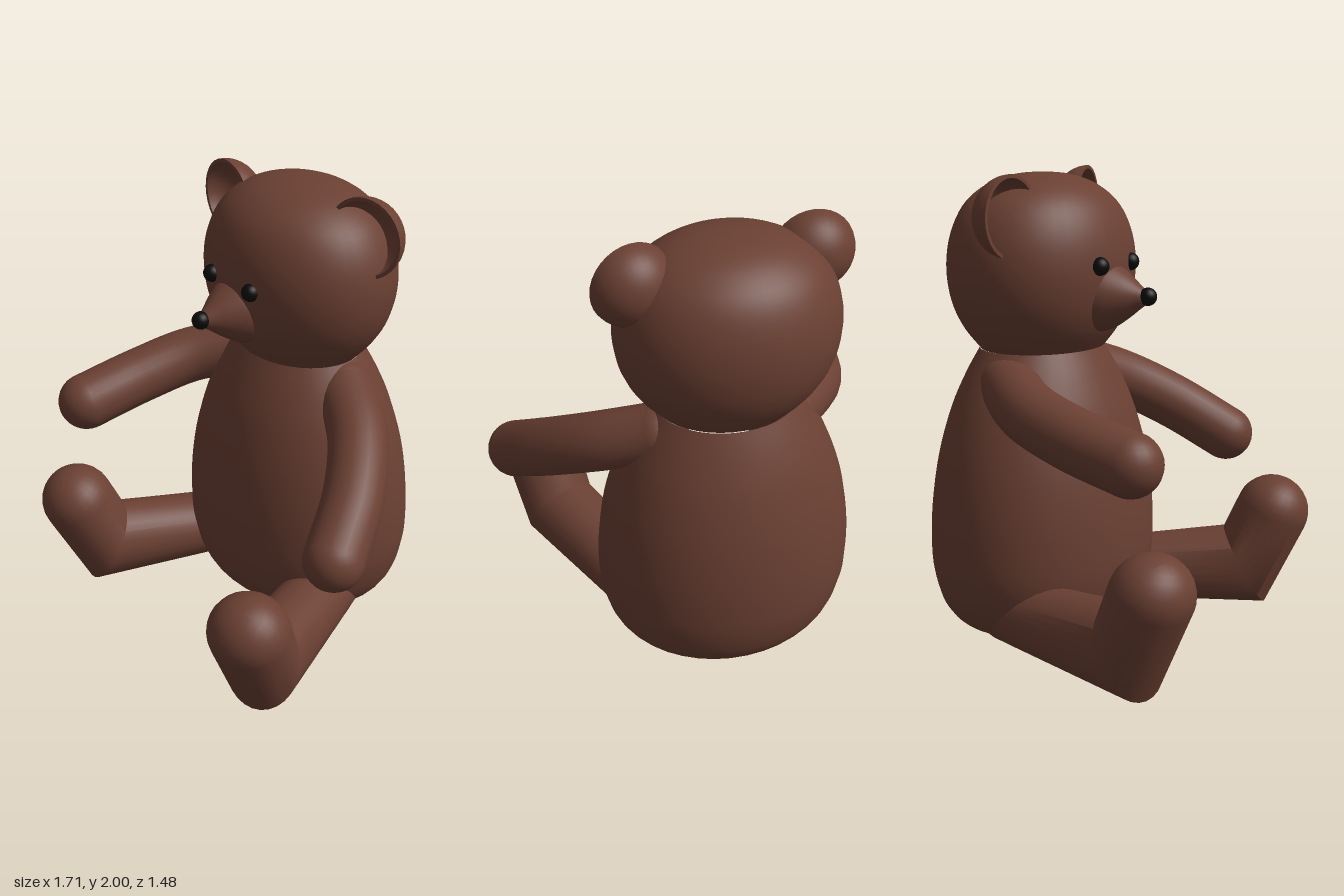
import * as THREE from 'three';
import { toCreasedNormals } from 'three/addons/utils/BufferGeometryUtils.js';

const fur = new THREE.MeshStandardMaterial({ color: 0x6b4033 });
const black = new THREE.MeshStandardMaterial({ color: 0x0a0a0a });
const CX = -0.09, CZ = -0.275; // axis of body and head

const v2 = ([x, y]) => new THREE.Vector2(x, y);
const v3 = (p) => new THREE.Vector3(...p);

function add(parent, name, geometry, position = [0, 0, 0], material = fur) {
  const mesh = new THREE.Mesh(geometry, material);
  mesh.name = name;
  mesh.position.set(...position);
  parent.add(mesh);
  return mesh;
}

// Smooth turned form from a few [radius, height] points
function turned(points, steps = 28) {
  const profile = new THREE.SplineCurve(points.map(v2)).getPoints(steps);
  profile.forEach((p) => { p.x = Math.max(p.x, 0); });
  return new THREE.LatheGeometry(profile, 40);
}

// Curved arm: tube with round ends
function arm(parent, name, points, radius) {
  const group = new THREE.Group();
  group.name = name;
  const curve = new THREE.CatmullRomCurve3(points.map(v3));
  add(group, name + 'Tube', new THREE.TubeGeometry(curve, 24, radius, 24));
  add(group, name + 'Shoulder', new THREE.SphereGeometry(radius, 24, 16), points[0]);
  add(group, name + 'Paw', new THREE.SphereGeometry(radius, 24, 16), points[points.length - 1]);
  parent.add(group);
}

// Leg lofted along +z: thigh, mitred ankle, upturned foot with a domed end.
// Each ring: centre z, centre y, half-height vector (z, y), half width.
function legGeometry() {
  const rings = [
    [-0.15, 0.135, 0, 0, 0],
    [-0.15, 0.135, 0, 0.135, 0.15],
    [0, 0.142, 0, 0.142, 0.155],
    [0.587, 0.175, -0.098, 0.175, 0.17],
  ];
  const domeSteps = 8;
  for (let i = 0; i <= domeSteps; i++) {
    const t = (i / domeSteps) * Math.PI / 2, c = Math.cos(t), s = Math.sin(t) * 0.165;
    rings.push([0.71 + 0.43 * s, 0.435 + 0.9 * s, -0.15 * c, 0.071 * c, 0.175 * c]);
  }
  const n = 28, pos = [], idx = [];
  rings.forEach(([z, y, uz, uy, w], i) => {
    for (let j = 0; j < n; j++) {
      const a = (j / n) * Math.PI * 2;
      pos.push(w * Math.cos(a), y + uy * Math.sin(a), z + uz * Math.sin(a));
      if (i < rings.length - 1) {
        const p = i * n + j, q = i * n + (j + 1) % n;
        idx.push(p, q, q + n, p, q + n, p + n);
      }
    }
  });
  const g = new THREE.BufferGeometry();
  g.setAttribute('position', new THREE.Float32BufferAttribute(pos, 3));
  g.setIndex(idx);
  return toCreasedNormals(g, 0.6);
}

// Hollow half-dome ear opening towards +z
function earGeometry() {
  const pts = [], steps = 12;
  for (let i = 0; i <= steps; i++) {
    const t = (i / steps) * Math.PI / 2;
    pts.push(v2([0.17 * Math.sin(t), -0.155 * Math.cos(t)]));
  }
  for (let i = steps; i >= 0; i--) {
    const t = (i / steps) * Math.PI / 2;
    pts.push(v2([0.155 * Math.sin(t), -0.14 * Math.cos(t)]));
  }
  return toCreasedNormals(new THREE.LatheGeometry(pts, 32).rotateX(Math.PI / 2), 0.7);
}

export function createModel() {
  const model = new THREE.Group();
  model.name = 'teddyBear';

  // Body and head, oval in plan
  const body = add(model, 'body', turned([
    [0, 0], [0.16, 0], [0.3, 0.004], [0.43, 0.05], [0.51, 0.14], [0.55, 0.27], [0.56, 0.4],
    [0.55, 0.58], [0.515, 0.78], [0.45, 0.98], [0.375, 1.13], [0.305, 1.24],
  ], 44), [CX, 0, CZ]);
  const head = add(model, 'head', turned([
    [0.305, 1.24], [0.385, 1.335], [0.44, 1.45], [0.46, 1.59], [0.437, 1.73],
    [0.37, 1.85], [0.26, 1.93], [0.13, 1.97], [0, 1.98],
  ], 36), [CX, 0, CZ + 0.005]);
  body.scale.z = head.scale.z = 0.83;

  // Face
  add(model, 'muzzle', turned([
    [0.175, -0.08], [0.165, -0.01], [0.142, 0.075], [0.1, 0.145], [0.055, 0.205], [0.025, 0.245], [0, 0.255],
  ]).rotateX(Math.PI / 2), [-0.105, 1.475, 0]);
  const bead = new THREE.SphereGeometry(0.038, 20, 14);
  add(model, 'nose', bead, [-0.105, 1.48, 0.25], black);
  add(model, 'rightEye', bead, [-0.228, 1.607, 0.095], black);
  add(model, 'leftEye', bead, [0.028, 1.607, 0.095], black);

  // Ears
  const ear = earGeometry();
  add(model, 'rightEar', ear, [-0.465, 1.808, -0.17]).rotation.y = -0.07;
  add(model, 'leftEar', ear, [0.295, 1.83, -0.27]).rotation.y = 0.24;

  // Arms
  arm(model, 'rightArm', [[-0.36, 1.1, -0.27], [-0.56, 1.05, -0.04], [-0.64, 0.99, 0.2], [-0.68, 0.93, 0.485]], 0.127);
  arm(model, 'leftArm', [[0.2, 1.11, -0.28], [0.42, 1.02, -0.16], [0.6, 0.89, 0.02], [0.728, 0.735, 0.238]], 0.127);

  // Legs, splayed outwards
  const leg = legGeometry();
  add(model, 'rightLeg', leg, [-0.46, 0, -0.1]).rotation.y = -0.31;
  add(model, 'leftLeg', leg, [0.285, 0, -0.1]).rotation.y = 0.42;

  return model;
}
